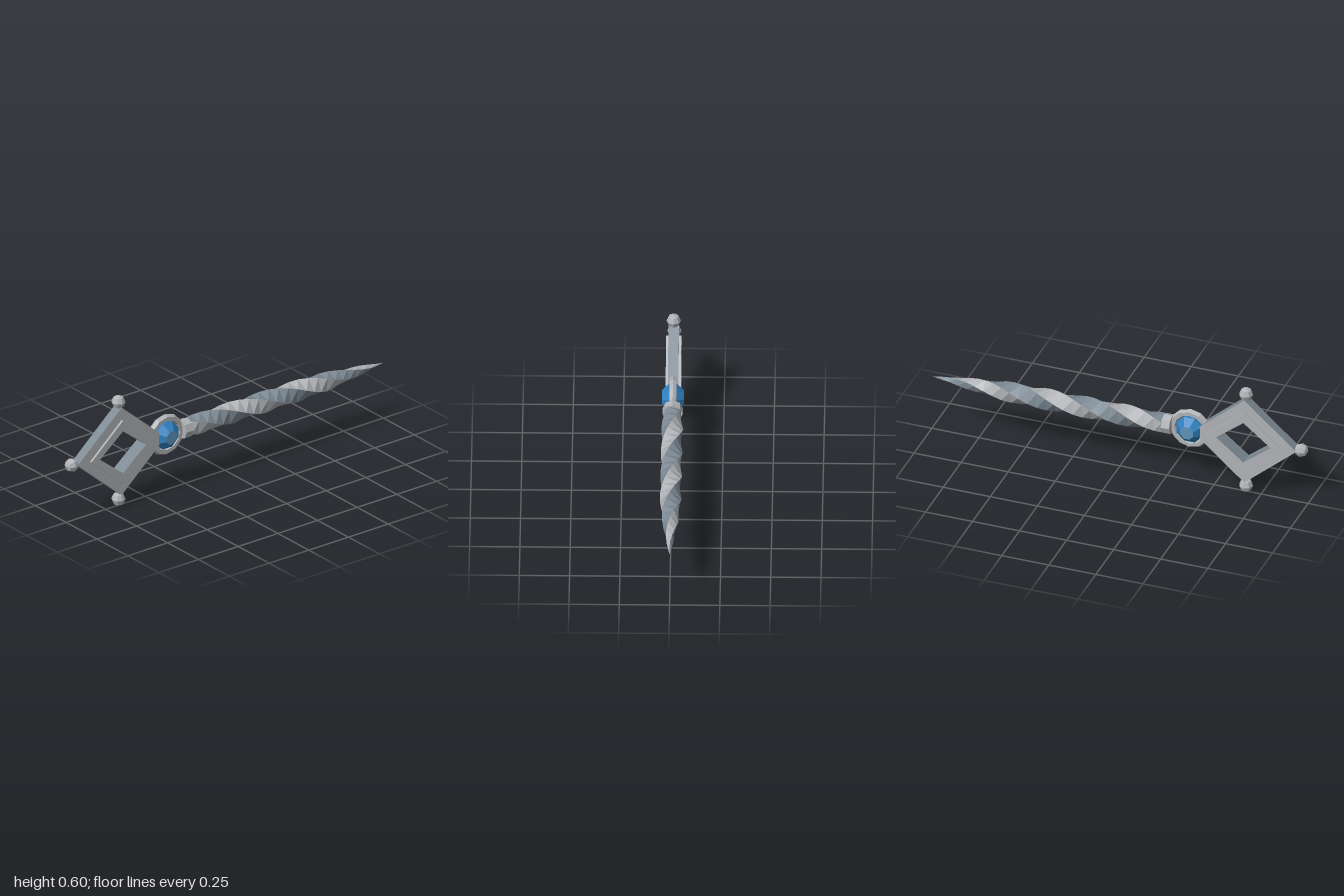
import * as THREE from 'three';

const mat = (name, color, extra = {}) => Object.assign(
  new THREE.MeshStandardMaterial({ color, flatShading: true, ...extra }), { name });

export function createModel() {
  const silver = mat('silver', 0xb0b2b6);
  const slate = mat('slate steel', 0x7d8a94);
  const blue = mat('gem blue', 0x2f80bf);
  const paleBlue = mat('gem table blue', 0x5f92bb);

  const model = new THREE.Group();
  model.name = 'spiralKey';
  const Y = 0.305, BOW_X = -0.67, GEM_X = -0.375;

  const add = (name, geometry, material, x = 0, y = Y, z = 0) => {
    const mesh = new THREE.Mesh(geometry, material);
    mesh.name = name;
    mesh.position.set(x, y, z);
    model.add(mesh);
    return mesh;
  };

  // Diamond bow: outer frame, raised inner frame and a dark lining in the hole
  const diamond = (C, w, h) => new C([[w, 0], [0, h], [-w, 0], [0, -h]].map(p => new THREE.Vector2(...p)));
  const frame = (name, [w, h], [hw, hh], half, materials) => {
    const shape = diamond(THREE.Shape, w, h);
    shape.holes.push(diamond(THREE.Path, hw, hh));
    const geo = new THREE.ExtrudeGeometry(shape, { depth: half * 2, bevelEnabled: false });
    geo.translate(0, 0, -half);
    add(name, geo, materials, BOW_X);
  };
  frame('bowFrame', [0.277, 0.24], [0.147, 0.117], 0.026, [silver, slate]);
  frame('raisedFrame', [0.2, 0.173], [0.147, 0.117], 0.038, [silver, silver]);
  frame('holeLining', [0.147, 0.117], [0.145, 0.115], 0.038, [silver, slate]);

  // Corner knobs
  const knob = new THREE.SphereGeometry(0.036, 8, 4);
  add('topKnob', knob, silver, BOW_X, 0.568);
  add('bottomKnob', knob, silver, BOW_X, 0.037);
  add('endKnob', knob, silver, -0.964).rotation.z = Math.PI / 2;

  // Gem setting
  add('gemRing', new THREE.TorusGeometry(0.09, 0.02, 6, 12), silver, GEM_X);

  // Cut gem, its axis along z, with a flat table on each side
  const girdle = [[0.037, -0.055], [0.074, -0.018], [0.074, 0.018], [0.037, 0.055]]
    .map(p => new THREE.Vector2(...p));
  const gem = new THREE.LatheGeometry(girdle, 8, Math.PI / 8);
  gem.rotateX(Math.PI / 2);
  add('gem', gem, blue, GEM_X);
  for (const side of [1, -1]) {
    const table = new THREE.CircleGeometry(0.037, 8, Math.PI / 8);
    if (side < 0) table.rotateY(Math.PI);
    add('gemTable', table, paleBlue, GEM_X, Y, side * 0.055);
  }

  // Collar between the gem and the blade
  const collar = new THREE.CylinderGeometry(0.051, 0.051, 0.045, 8);
  collar.rotateZ(Math.PI / 2);
  add('collar', collar, silver, -0.257);

  // Twisted four-sided blade; opposite sides share a colour
  const START = -0.24, SEGMENTS = 26, TURN = Math.PI / 2 / 0.205;
  const radii = [[-0.24, 0.05], [-0.1, 0.055], [0.5, 0.055], [0.62, 0.05], [0.75, 0.036], [0.88, 0.02], [1, 0]];
  const radiusAt = x => {
    let i = 1;
    while (i < radii.length - 1 && x > radii[i][0]) i++;
    const [x0, r0] = radii[i - 1], [x1, r1] = radii[i];
    return THREE.MathUtils.lerp(r0, r1, (x - x0) / (x1 - x0));
  };
  const corner = (segment, k) => {
    const x = START + (1 - START) * segment / SEGMENTS;
    const a = x * TURN + (k + 0.5) * Math.PI / 2;
    const r = radiusAt(x);
    return [x, r * Math.cos(a), r * Math.sin(a)];
  };
  const bladeSides = (name, sides, material) => {
    const points = [];
    for (const k of sides) {
      for (let s = 0; s < SEGMENTS; s++) {
        const a = corner(s, k), b = corner(s + 1, k);
        const c = corner(s + 1, k + 1), d = corner(s, k + 1);
        points.push(...a, ...d, ...b);
        if (s < SEGMENTS - 1) points.push(...b, ...d, ...c);
      }
    }
    const geo = new THREE.BufferGeometry();
    geo.setAttribute('position', new THREE.Float32BufferAttribute(points, 3));
    geo.computeVertexNormals();
    add(name, geo, material);
  };
  bladeSides('bladeSlateSides', [0, 2], slate);
  bladeSides('bladeSilverSides', [1, 3], silver);

  return model;
}
